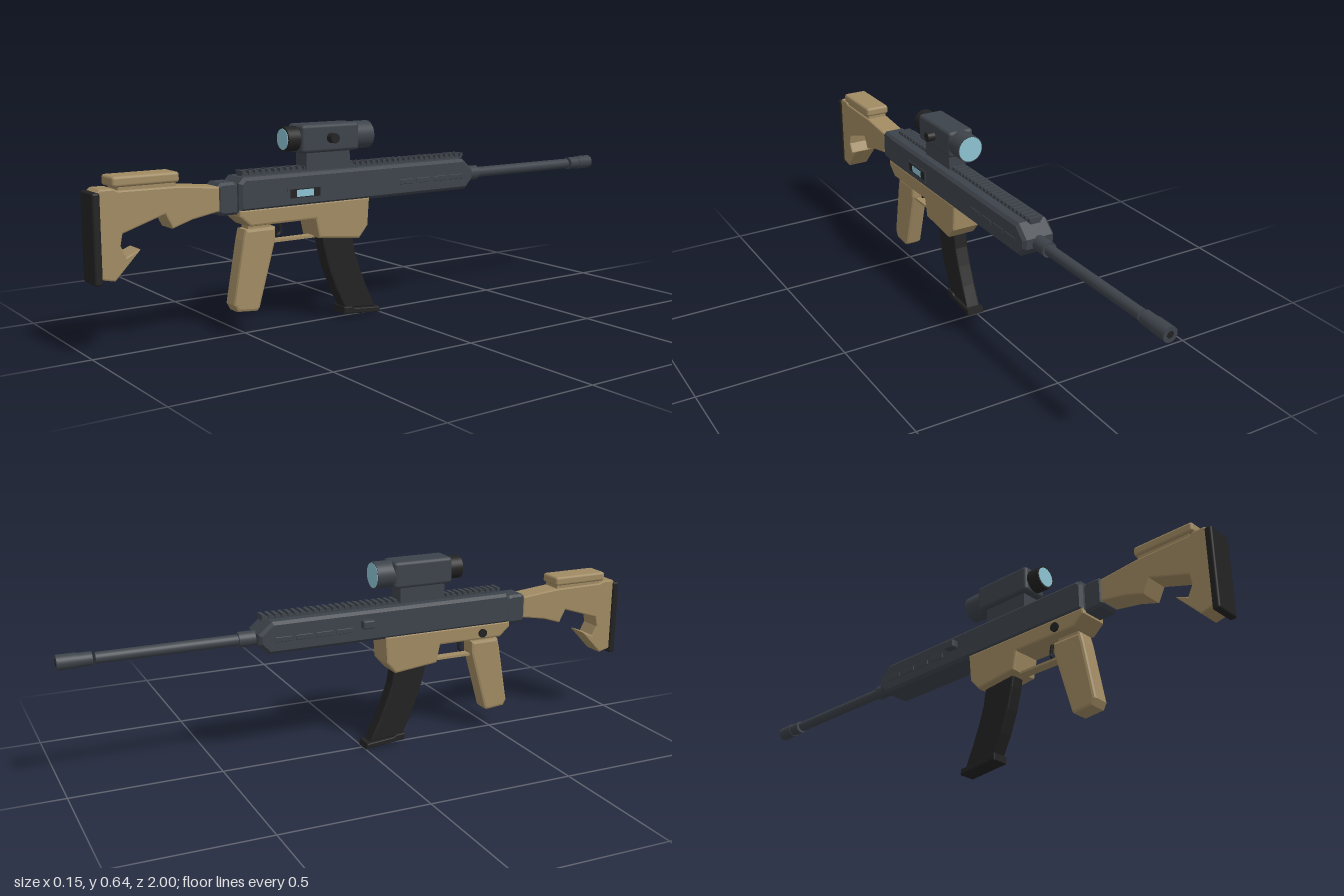
import * as THREE from 'three';
import { RoundedBoxGeometry } from 'three/addons/geometries/RoundedBoxGeometry.js';

const mat = (name, color) => Object.assign(new THREE.MeshStandardMaterial({ color }), { name });

export function createModel() {
  const tan = mat('tan polymer', 0xa08a62);
  const steel = mat('dark grey metal', 0x3d434a);
  const black = mat('black rubber', 0x222223);
  const glass = mat('pale blue glass', 0x8cc2d2);

  const root = new THREE.Group();
  root.name = 'model';
  const body = new THREE.Group();
  body.name = 'body';
  body.position.x = 0.003; // side knobs shift the middle slightly
  root.add(body);

  const add = (name, geometry, material, x = 0, y = 0, z = 0) => {
    const m = new THREE.Mesh(geometry, material);
    m.name = name;
    m.position.set(x, y, z);
    body.add(m);
    return m;
  };

  // Side outline of [z, y] points, extruded across x with a bevel kept inside the outline
  const slab = (name, points, width, material, bevel = 0.008, segments = 2) => {
    const shape = new THREE.Shape(points.map(p => new THREE.Vector2(p[0], p[1])));
    const g = new THREE.ExtrudeGeometry(shape, {
      depth: width - 2 * bevel, bevelEnabled: bevel > 0, bevelThickness: bevel,
      bevelSize: bevel, bevelOffset: -bevel, bevelSegments: segments,
    });
    g.translate(0, 0, -(width - 2 * bevel) / 2);
    g.rotateY(-Math.PI / 2);
    return add(name, g, material);
  };
  const box = (name, w, h, d, x, y, z, material, r = 0) => add(name,
    r ? new RoundedBoxGeometry(w, h, d, 2, r) : new THREE.BoxGeometry(w, h, d), material, x, y, z);
  // Cylinder along z between z0 and z1
  const tubeZ = (name, r0, r1, z0, z1, y, material, sides = 28) => {
    const g = new THREE.CylinderGeometry(r1, r0, Math.abs(z1 - z0), sides);
    g.rotateX(Math.PI / 2);
    return add(name, g, material, 0, y, (z0 + z1) / 2);
  };
  const discX = (name, r, x0, x1, y, z, material) => {
    const g = new THREE.CylinderGeometry(r, r, x1 - x0, 24);
    g.rotateZ(Math.PI / 2);
    return add(name, g, material, (x0 + x1) / 2, y, z);
  };

  // Receiver and handguard
  slab('receiver', [[0.54, 0.392], [0.54, 0.48], [0.523, 0.497], [-0.335, 0.497],
    [-0.38, 0.458], [-0.38, 0.425], [-0.348, 0.392]], 0.112, steel, 0.01, 1);
  slab('rearCollar', [[0.605, 0.395], [0.605, 0.475], [0.595, 0.485], [0.55, 0.485],
    [0.535, 0.478], [0.535, 0.385], [0.595, 0.385]], 0.082, steel, 0.008, 1);

  // Toothed top rail
  box('railBase', 0.034, 0.01, 0.87, 0, 0.5, 0.077, steel);
  for (let i = 0; i < 40; i++) {
    box('railTooth', 0.045, 0.012, 0.012, 0, 0.508, 0.506 - i * 0.022, steel);
  }

  // Vent slots on both sides
  for (const side of [-1, 1]) {
    for (let i = 0; i < 4; i++) {
      box('ventSlot', 0.005, 0.017, 0.058, side * 0.0555, 0.439, -0.089 - i * 0.07, steel, 0.002);
    }
  }

  // Ejection port with bolt window
  box('portFrame', 0.005, 0.042, 0.13, 0.055, 0.435, 0.31, steel);
  box('portRecess', 0.005, 0.028, 0.11, 0.056, 0.435, 0.31, black);
  box('portWindow', 0.005, 0.022, 0.062, 0.0568, 0.435, 0.31, glass);

  // Charging handle and selector on the other side
  box('chargingHandle', 0.03, 0.028, 0.042, -0.064, 0.456, -0.01, steel, 0.005);
  discX('selector', 0.015, -0.059, -0.04, 0.368, 0.43, black);

  // Barrel and muzzle
  const axis = 0.438;
  tubeZ('barrelNut', 0.025, 0.025, -0.37, -0.435, axis, steel);
  tubeZ('barrel', 0.018, 0.018, -0.43, -0.884, axis, steel);
  tubeZ('muzzleCollar', 0.022, 0.022, -0.893, -0.94, axis, steel);
  tubeZ('muzzleTip', 0.024, 0.024, -0.938, -1, axis, steel);
  tubeZ('muzzleBore', 0.011, 0.011, -0.99, -1.0004, axis, black);

  // Lower housing, grip, guard and trigger
  slab('lowerHousing', [[0.54, 0.4], [0.54, 0.378], [0.502, 0.345], [0.268, 0.345], [0.255, 0.283],
    [0.1, 0.266], [0.066, 0.305], [0.059, 0.4]], 0.104, tan, 0.007);
  slab('grip', [[0.508, 0.333], [0.402, 0.333], [0.402, 0.292], [0.462, 0.08],
    [0.472, 0.072], [0.54, 0.078], [0.552, 0.1], [0.516, 0.3]], 0.062, tan, 0.009);
  box('gripJoint', 0.04, 0.03, 0.08, 0, 0.336, 0.455, tan);
  box('triggerGuard', 0.034, 0.008, 0.17, 0, 0.284, 0.335, tan);
  const curve = new THREE.CatmullRomCurve3([[0.375, 0.35], [0.37, 0.325], [0.368, 0.31], [0.378, 0.298]]
    .map(([z, y]) => new THREE.Vector3(0, y, z)));
  add('trigger', new THREE.TubeGeometry(curve, 10, 0.006, 8), black);

  // Curved magazine
  slab('magazine', [[0.232, 0.3], [0.222, 0.245], [0.203, 0.175], [0.174, 0.1], [0.138, 0.03],
    [0.018, 0.022], [0.05, 0.09], [0.077, 0.155], [0.098, 0.215], [0.112, 0.3]], 0.05, black, 0.006);
  slab('magazineFloor', [[0.148, 0.038], [0.115, 0.036], [0.105, 0.029], [0.004, 0.02],
    [0, 0], [0.02, 0.002], [0.148, 0.014]], 0.062, black, 0.004);

  // Stock with open hook, cheek rest and butt pad
  slab('stock', [[0.985, 0.488], [0.975, 0.497], [0.935, 0.497], [0.92, 0.49], [0.735, 0.488],
    [0.6, 0.475], [0.6, 0.4], [0.69, 0.384], [0.755, 0.363], [0.778, 0.408], [0.91, 0.365],
    [0.917, 0.33], [0.9, 0.298], [0.857, 0.314], [0.937, 0.229], [0.985, 0.24]], 0.08, tan, 0.005);
  box('cheekRestBase', 0.07, 0.03, 0.18, 0, 0.492, 0.83, tan);
  box('cheekRest', 0.087, 0.032, 0.207, 0, 0.515, 0.834, tan, 0.009);
  box('buttPad', 0.092, 0.266, 0.024, 0, 0.356, 0.988, black, 0.007);

  // Optical sight
  const sight = 0.6;
  box('sightMount', 0.062, 0.06, 0.165, 0, 0.533, 0.206, steel);
  box('sightBody', 0.092, 0.09, 0.216, 0, sight, 0.203, steel, 0.012);
  tubeZ('sightBell', 0.045, 0.045, 0.11, 0.036, sight, steel, 36);
  tubeZ('bellLens', 0.042, 0.042, 0.04, 0.035, sight, glass, 36);
  tubeZ('eyepiece', 0.039, 0.039, 0.3, 0.355, sight, black, 36);
  tubeZ('eyepieceLens', 0.033, 0.033, 0.35, 0.357, sight, glass, 36);
  discX('sightKnob', 0.016, 0.04, 0.072, sight, 0.205, black);

  return root;
}
